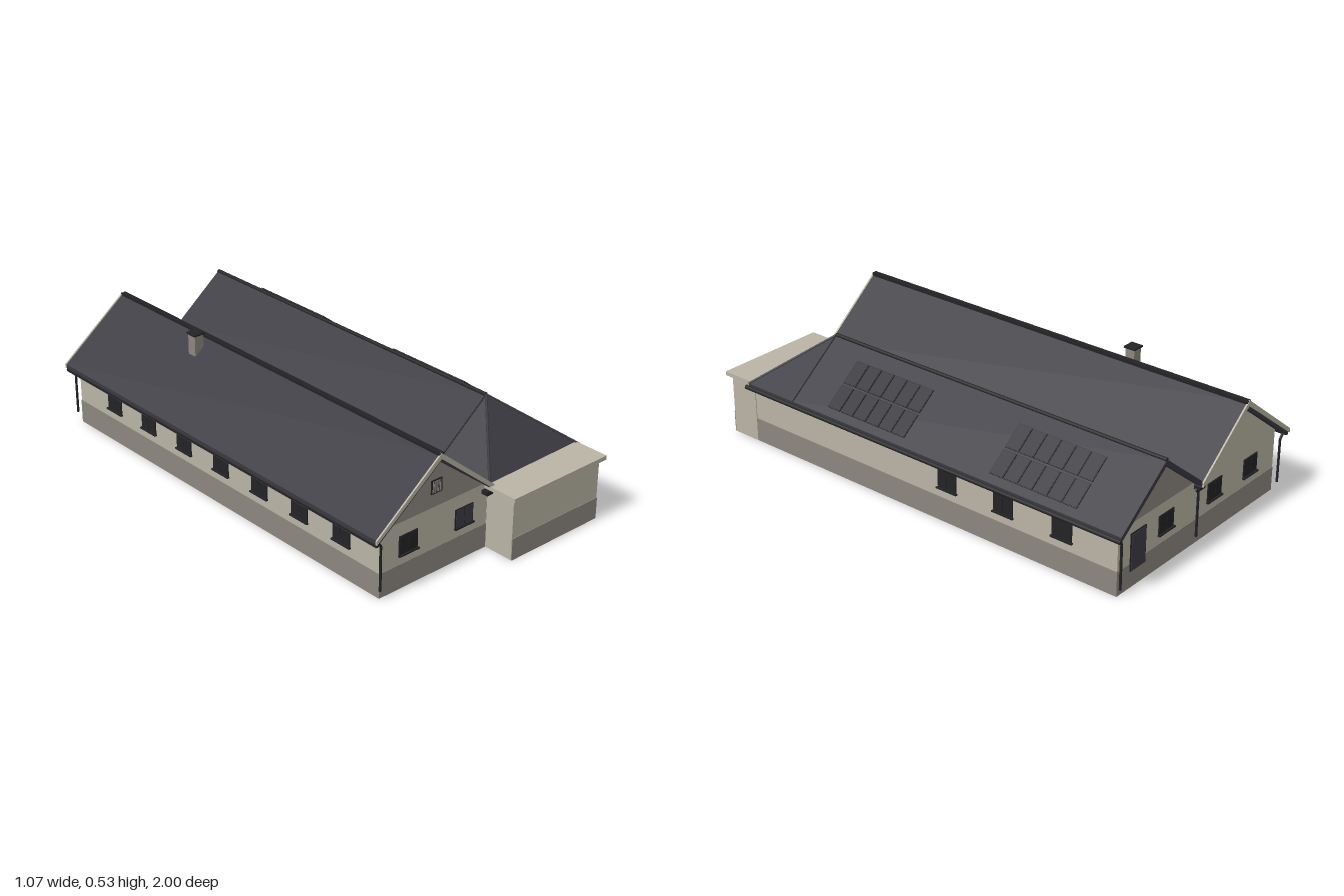
import * as THREE from 'three';

const mat = (name, color, side = THREE.FrontSide) => {
  const m = new THREE.MeshStandardMaterial({ color, side });
  m.name = name;
  return m;
};

export function createModel() {
  const root = new THREE.Group();
  root.name = 'farmhouse';
  const wall = mat('beige render', 0xbab4a5);
  const plinth = mat('grey brown plinth', 0x8c867e);
  const roof = mat('dark roof tiles', 0x3a3940, THREE.DoubleSide);
  const dark = mat('black metal', 0x232325);
  const slate = mat('slate pane', 0x3b3b45);
  const panel = mat('solar glass', 0x2f2f35);

  const add = (name, geo, m, parent = root) => {
    const mesh = new THREE.Mesh(geo, m);
    mesh.name = name;
    parent.add(mesh);
    return mesh;
  };
  // Box given by its limits on each axis
  const block = (name, m, x0, x1, y0, y1, z0, z1, parent = root) => {
    const b = add(name, new THREE.BoxGeometry(x1 - x0, y1 - y0, z1 - z0), m, parent);
    b.position.set((x0 + x1) / 2, (y0 + y1) / 2, (z0 + z1) / 2);
    return b;
  };
  // Outline in x, y extruded from z0 to z1
  const prism = (name, m, pts, z0, z1) => {
    const shape = new THREE.Shape(pts.map(p => new THREE.Vector2(...p)));
    const geo = new THREE.ExtrudeGeometry(shape, { depth: z1 - z0, bevelEnabled: false });
    geo.translate(0, 0, z0);
    return add(name, geo, m);
  };
  // Round bar between two points
  const bar = (name, m, a, b, r) => {
    const A = new THREE.Vector3(...a), d = new THREE.Vector3(...b).sub(A);
    const c = add(name, new THREE.CylinderGeometry(r, r, d.length(), 8), m);
    c.position.copy(A).addScaledVector(d, 0.5);
    c.quaternion.setFromUnitVectors(new THREE.Vector3(0, 1, 0), d.normalize());
    return c;
  };

  // Base and walls of the two wings
  block('plinth', plinth, -0.497, 0.497, 0, 0.1, -0.96, 0.85);
  prism('leftWingWalls', wall,
    [[-0.495, 0.1], [0.035, 0.1], [0.035, 0.262], [-0.235, 0.475], [-0.495, 0.27]], -0.959, 0.849);
  prism('leftFrontGable', plinth, [[-0.494, 0.274], [0.02, 0.274], [-0.235, 0.474]], 0.848, 0.852);
  prism('rightWingWalls', wall,
    [[0.035, 0.1], [0.495, 0.1], [0.495, 0.255], [0.265, 0.435], [0.035, 0.255]], -0.959, 0.6);
  block('rightWingFrontWalls', wall, 0.035, 0.495, 0.1, 0.255, 0.6, 0.85);
  prism('rightBackGable', plinth, [[0.05, 0.265], [0.482, 0.265], [0.265, 0.434]], -0.962, -0.958);

  // Front annex with flat roof slab
  block('annexWalls', wall, 0.037, 0.498, 0, 0.255, 0.85, 0.98);
  block('annexPlinth', plinth, 0.037, 0.498, 0, 0.09, 0.979, 0.983);
  block('annexRoof', wall, 0.02, 0.515, 0.253, 0.27, 0.85, 1);
  block('annexRoofTrim', dark, 0.035, 0.502, 0.247, 0.253, 0.85, 0.986);

  // Left roof with pale barge boards at both ends
  prism('leftRoof', roof, [[-0.535, 0.262], [-0.235, 0.495], [0.04, 0.272],
    [0.04, 0.25], [-0.235, 0.462], [-0.535, 0.232]], -0.993, 0.873);
  const barge = [[-0.538, 0.264], [-0.235, 0.499], [0.04, 0.274],
    [0.04, 0.254], [-0.235, 0.476], [-0.538, 0.246]];
  prism('frontBargeBoard', wall, barge, 0.873, 0.88);
  prism('backBargeBoard', wall, barge, -1, -0.993);
  block('leftRidgeCap', dark, -0.244, -0.222, 0.484, 0.498, -0.998, 0.878);

  // Right roof: gable at the back, hip at the front
  prism('rightRoof', roof, [[0.035, 0.275], [0.265, 0.46], [0.52, 0.262],
    [0.52, 0.24], [0.265, 0.436], [0.035, 0.252]], -0.99, 0.61);
  const L = [0.035, 0.275, 0.61], T = [0.265, 0.46, 0.61], R = [0.52, 0.262, 0.61];
  const FL = [0.035, 0.27, 0.86], FR = [0.52, 0.262, 0.86];
  const hip = new THREE.BufferGeometry();
  hip.setAttribute('position', new THREE.Float32BufferAttribute(
    [FL, FR, T, L, FL, T, FR, R, T].flat(), 3));
  hip.computeVertexNormals();
  add('hipRoof', hip, roof);
  block('hipEave', roof, 0.49, 0.52, 0.24, 0.261, 0.61, 0.86);
  bar('rightRidgeCap', dark, [0.265, 0.458, -0.99], T, 0.008);
  bar('leftHipCap', roof, T, FL, 0.005);
  bar('rightHipCap', roof, T, FR, 0.005);
  bar('rightRoofSeam', dark, T, R, 0.003);
  bar('leftRoofSeam', dark, T, L, 0.003);

  // Gutters and downpipes
  bar('leftGutter', dark, [-0.53, 0.243, -0.99], [-0.53, 0.243, 0.875], 0.009);
  bar('rightGutter', dark, [0.521, 0.243, -0.99], [0.521, 0.243, 0.875], 0.009);
  block('valleyGutter', dark, 0.005, 0.042, 0.235, 0.25, -0.985, 0.878);
  for (const [x, z] of [[-0.503, 0.862], [-0.503, -0.98], [0.503, -0.98], [0.035, -0.975]]) {
    bar('downpipe', dark, [x, 0.04, z], [x, 0.225, z], 0.005);
    bar('downpipeElbow', dark, [x, 0.225, z], [x + 0.018 * Math.sign(x), 0.243, z], 0.005);
  }

  // Chimney
  block('chimney', plinth, -0.313, -0.271, 0.4, 0.52, -0.453, -0.411);
  block('chimneyCap', dark, -0.318, -0.266, 0.52, 0.527, -0.458, -0.406);

  // Solar panels: two tilted columns of six in each field
  const tilt = -Math.atan2(0.198, 0.255);
  for (const z0 of [-0.785, 0.03]) {
    for (const [cx, cy] of [[0.374, 0.393], [0.463, 0.324]]) {
      for (let i = 0; i < 6; i++) {
        const g = new THREE.Group();
        g.name = 'solarPanel';
        g.position.set(cx, cy, z0 + 0.0335 + i * 0.067);
        g.rotation.z = tilt;
        root.add(g);
        block('panelFrame', dark, -0.052, 0.052, -0.002, 0.002, -0.0315, 0.0315, g);
        block('panelGlass', panel, -0.049, 0.049, 0.001, 0.003, -0.0285, 0.0285, g);
      }
    }
  }

  // Windows: frame, two panes and a sill, facing local +z
  const opening = (name, x, y, z, turn) => {
    const g = new THREE.Group();
    g.name = name;
    g.position.set(x, y, z);
    g.rotation.y = turn;
    root.add(g);
    return g;
  };
  const windowAt = (x, z, turn, pane = dark) => {
    const g = opening('window', x, 0.179, z, turn);
    block('windowFrame', dark, -0.045, 0.045, -0.038, 0.038, -0.001, 0.003, g);
    for (const s of [-1, 1])
      block('windowPane', pane, s * 0.022 - 0.02, s * 0.022 + 0.02, -0.035, 0.035, 0.002, 0.004, g);
    block('windowSill', dark, -0.049, 0.049, -0.043, -0.037, 0, 0.01, g);
  };
  windowAt(-0.36, 0.85, 0);
  windowAt(-0.083, 0.85, 0, slate);
  for (const z of [-0.175, -0.445, -0.715]) windowAt(0.496, z, Math.PI / 2);
  for (let i = 0; i < 7; i++) windowAt(-0.496, -0.715 + i * 0.228, -Math.PI / 2);
  for (const x of [0.211, -0.093, -0.33]) windowAt(x, -0.96, Math.PI);

  // Back door
  const door = opening('backDoor', 0.378, 0.145, -0.96, Math.PI);
  block('doorFrame', dark, -0.045, 0.045, -0.077, 0.077, -0.001, 0.003, door);
  block('doorLeaf', slate, -0.041, 0.041, -0.075, 0.073, 0.002, 0.005, door);

  // Slatted vent in the front gable
  const vent = opening('gableVent', -0.23, 0.357, 0.852, 0);
  block('ventBack', dark, -0.027, 0.027, -0.028, 0.028, -0.001, 0.003, vent);
  for (let i = -2; i <= 2; i++)
    block('ventSlat', plinth, i * 0.009 - 0.0025, i * 0.009 + 0.0025, -0.023, 0.023, 0.002, 0.005, vent);

  return root;
}
